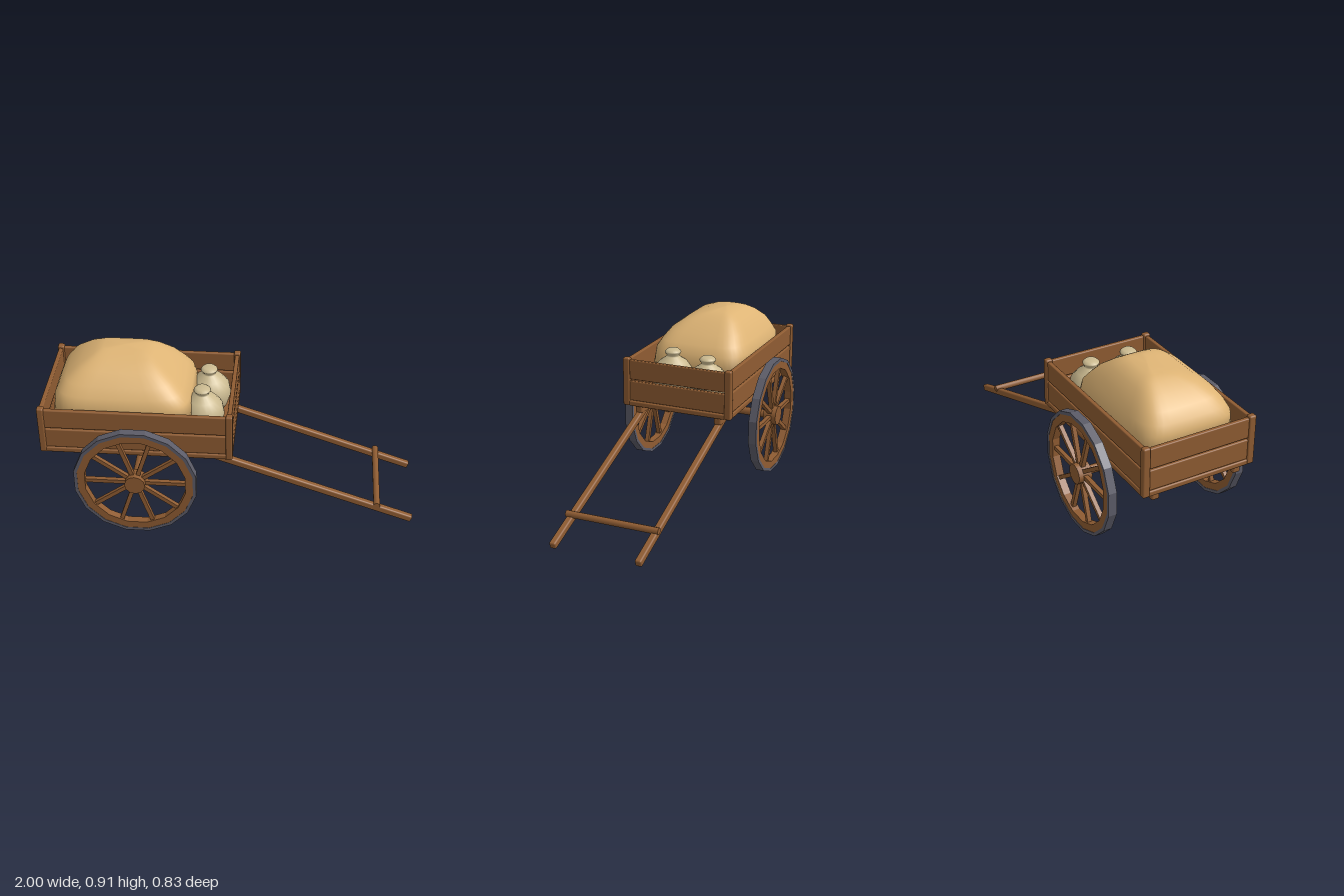
import * as THREE from 'three';
import { RoundedBoxGeometry } from 'three/addons/geometries/RoundedBoxGeometry.js';

const material = (name, color) => {
  const m = new THREE.MeshStandardMaterial({ color });
  m.name = name;
  return m;
};

export function createModel() {
  const cart = new THREE.Group();
  cart.name = 'handCart';
  const wood = material('wood', 0x8f5c32);
  const iron = material('iron', 0x5c5c68);
  const sand = material('sand', 0xdeb475);
  const clay = material('clay', 0xcbba90);

  const add = (name, geometry, mat, x = 0, y = 0, z = 0, parent = cart) => {
    const mesh = new THREE.Mesh(geometry, mat);
    mesh.name = name;
    mesh.position.set(x, y, z);
    parent.add(mesh);
    return mesh;
  };
  // Beam with softened edges
  const beam = (name, w, h, d, x, y, z, parent) =>
    add(name, new RoundedBoxGeometry(w, h, d, 2, Math.min(w, h, d) * 0.25), wood, x, y, z, parent);

  // Bed: floor, corner posts and boards
  const back = -0.982, front = 0.003, mid = (back + front) / 2, length = front - back;
  add('floor', new THREE.BoxGeometry(length, 0.03, 0.57), wood, mid, 0.465, 0);
  for (const x of [back, front]) {
    for (const z of [-0.3, 0.3]) beam('cornerPost', 0.036, 0.275, 0.04, x, 0.588, z);
    beam('endSill', 0.034, 0.03, 0.57, x, 0.465, 0);
    beam('lowerEndBoard', 0.024, 0.113, 0.565, x, 0.538, 0);
    beam('upperEndBoard', 0.024, 0.112, 0.565, x, 0.659, 0);
  }
  for (const z of [-0.3, 0.3]) {
    beam('sideSill', length, 0.03, 0.034, mid, 0.465, z);
    beam('lowerSideBoard', length, 0.113, 0.024, mid, 0.538, z);
    beam('upperSideBoard', length, 0.112, 0.024, mid, 0.659, z);
  }

  // Under-bed rails and the sloping pull shafts
  const from = new THREE.Vector2(-0.12, 0.432), to = new THREE.Vector2(0.985, 0.043);
  for (const z of [-0.235, 0.235]) {
    beam('bedRail', 0.98, 0.044, 0.044, -0.49, 0.428, z);
    const shaft = beam('pullShaft', from.distanceTo(to) + 0.02, 0.038, 0.036,
      (from.x + to.x) / 2, (from.y + to.y) / 2, z);
    shaft.rotation.z = Math.atan2(to.y - from.y, to.x - from.x);
  }
  add('crossHandle', new THREE.CylinderGeometry(0.018, 0.018, 0.515, 10).rotateX(Math.PI / 2),
    wood, 0.8, 0.132, 0);

  // Axle and wheels
  const axleX = -0.49, axleY = 0.325;
  add('axle', new THREE.CylinderGeometry(0.023, 0.023, 0.76, 10).rotateX(Math.PI / 2), wood, axleX, axleY, 0);

  const polygon = (radius, sides = 16) => Array.from({ length: sides }, (_, i) => {
    const a = (i + 0.5) / sides * Math.PI * 2;
    return new THREE.Vector2(Math.cos(a) * radius, Math.sin(a) * radius);
  });
  const ring = (outer, inner, depth) => {
    const shape = new THREE.Shape(polygon(outer));
    shape.holes.push(new THREE.Path(polygon(inner).reverse()));
    return new THREE.ExtrudeGeometry(shape, { depth, bevelEnabled: false }).translate(0, 0, -depth / 2);
  };
  for (const z of [-0.377, 0.377]) {
    const wheel = new THREE.Group();
    wheel.name = 'wheel';
    wheel.position.set(axleX, axleY, z);
    cart.add(wheel);
    add('tyre', ring(0.331, 0.313, 0.046), iron, 0, 0, 0, wheel);
    add('rim', ring(0.314, 0.272, 0.042), wood, 0, 0, 0, wheel);
    add('hub', new THREE.CylinderGeometry(0.055, 0.055, 0.074, 12).rotateX(Math.PI / 2), wood, 0, 0, 0, wheel);
    for (let i = 0; i < 10; i++) {
      const spoke = new THREE.BoxGeometry(0.25, 0.022, 0.024).translate(0.16, 0, 0);
      add('spoke', spoke, wood, 0, 0, 0, wheel).rotation.z = i * Math.PI / 5;
    }
  }

  // Heaped load: rounded rectangles [y, x0, x1, z0, z1] stacked upward
  const levels = [
    [0.605, -0.56, -0.56, 0, 0], [0.605, -0.945, -0.18, -0.285, 0.285],
    [0.715, -0.935, -0.215, -0.276, 0.276], [0.76, -0.915, -0.25, -0.25, 0.25],
    [0.81, -0.875, -0.3, -0.222, 0.212], [0.86, -0.8, -0.37, -0.178, 0.145],
    [0.89, -0.735, -0.42, -0.14, 0.07], [0.905, -0.69, -0.47, -0.1, 0.0],
    [0.91, -0.58, -0.58, -0.05, -0.05],
  ];
  const sides = 40, positions = [], index = [];
  const round = (v) => Math.sign(v) * Math.pow(Math.abs(v), 0.4);
  levels.forEach(([y, x0, x1, z0, z1], i) => {
    for (let j = 0; j < sides; j++) {
      const a = j / sides * Math.PI * 2;
      positions.push((x0 + x1) / 2 + round(Math.cos(a)) * (x1 - x0) / 2, y,
        (z0 + z1) / 2 - round(Math.sin(a)) * (z1 - z0) / 2);
      if (i === levels.length - 1) continue;
      const p = i * sides + j, q = i * sides + (j + 1) % sides;
      index.push(p, q, p + sides, q, q + sides, p + sides);
    }
  });
  const heap = new THREE.BufferGeometry();
  heap.setAttribute('position', new THREE.Float32BufferAttribute(positions, 3));
  heap.setIndex(index);
  heap.computeVertexNormals();
  add('sandHeap', heap, sand);

  // Two clay jars behind the front board
  const profile = [[0, 0], [0.07, 0], [0.1, 0.05], [0.118, 0.11], [0.108, 0.165], [0.075, 0.205],
    [0.036, 0.232], [0.034, 0.24], [0.046, 0.256], [0.044, 0.262], [0.031, 0.274], [0, 0.274]]
    .map(([r, y]) => new THREE.Vector2(r, y));
  const jar = new THREE.LatheGeometry(profile, 20);
  add('jar', jar, clay, -0.155, 0.481, 0.095);
  add('jar', jar, clay, -0.137, 0.467, -0.12);

  return cart;
}
